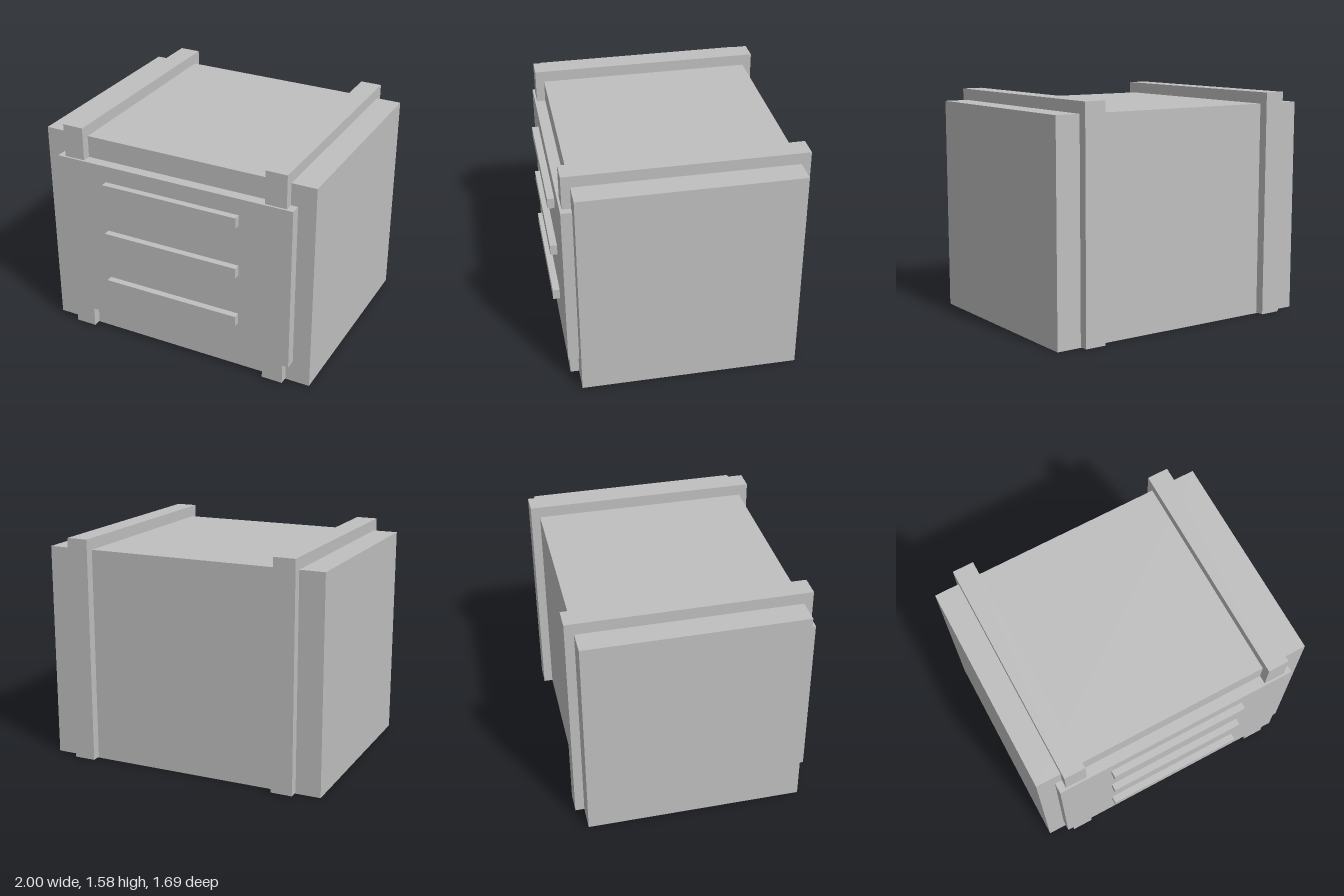
import * as THREE from 'three';

export function createModel() {
  const group = new THREE.Group();
  const grey = new THREE.MeshStandardMaterial({ color: 0xbfbfbf });
  grey.name = 'plain grey';

  // Box given by its limits along each axis
  const addBox = (name, [x0, x1], [y0, y1], [z0, z1]) => {
    const mesh = new THREE.Mesh(new THREE.BoxGeometry(x1 - x0, y1 - y0, z1 - z0), grey);
    mesh.position.set((x0 + x1) / 2, (y0 + y1) / 2, (z0 + z1) / 2);
    mesh.name = name;
    group.add(mesh);
  };

  // Main crate
  addBox('body', [-1, 1], [0, 1.5], [-0.78, 0.72]);

  // Bands wrapping the front, top and back, just clear of the ground
  addBox('leftBand', [0.675, 0.825], [0.005, 1.58], [-0.843, 0.78]);
  addBox('rightBand', [-0.825, -0.675], [0.005, 1.58], [-0.843, 0.78]);

  // Raised front panel
  addBox('frontPanel', [-0.875, 0.875], [0.16, 1.345], [0.7, 0.795]);

  // Three horizontal slats on the panel
  [0.44, 0.815, 1.19].forEach((y, i) => {
    addBox(`slat${i + 1}`, [-0.5, 0.5], [y - 0.0375, y + 0.0375], [0.78, 0.843]);
  });

  return group;
}
